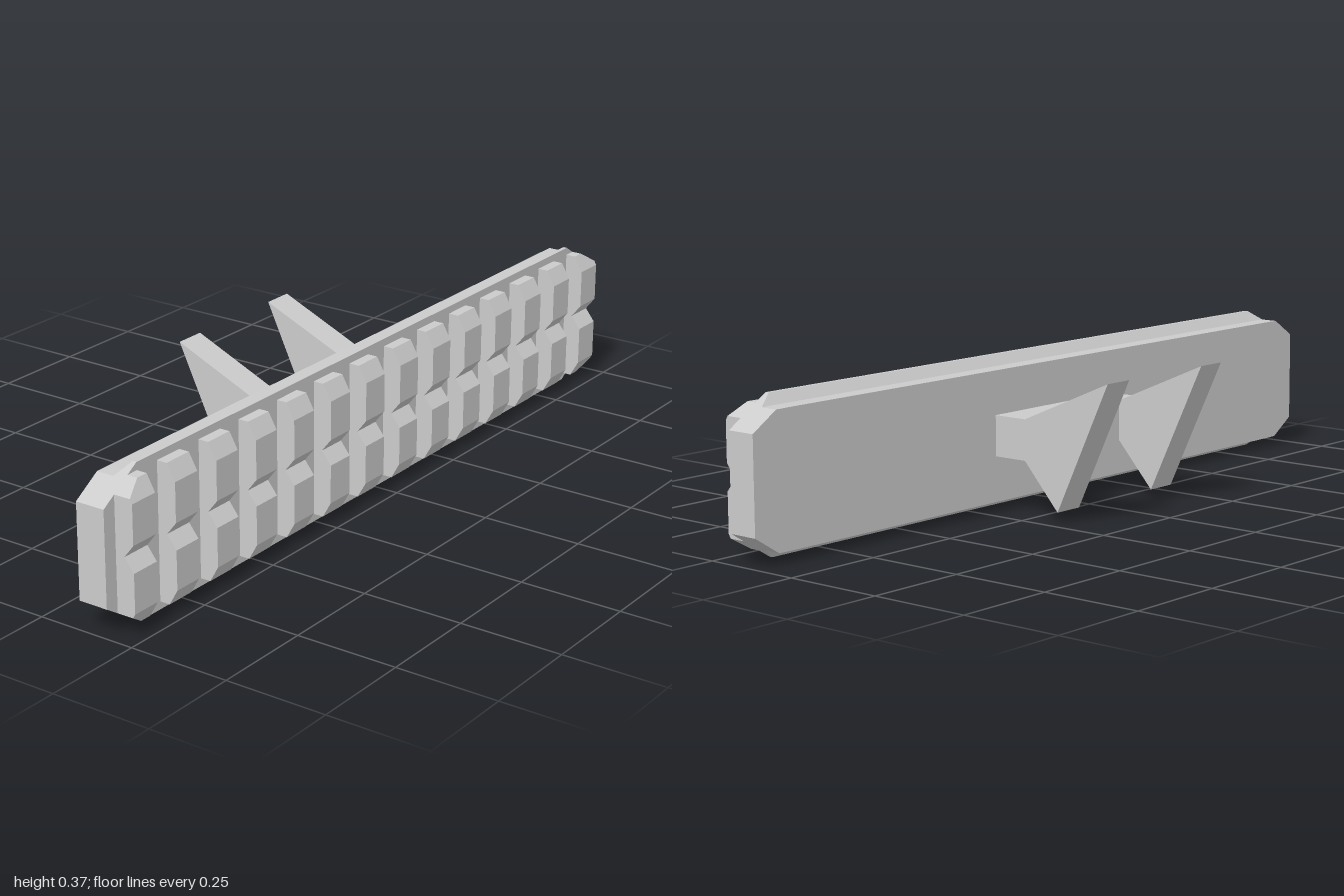
import * as THREE from 'three';

const MID = 0.185; // height of the rail's centre line
const mat = new THREE.MeshStandardMaterial({ color: 0xcccccc, flatShading: true, side: THREE.DoubleSide });

// Half-height allowed at z by the bevelled rail ends
const limit = (z) => Math.min(0.185, 0.115 + (1 - Math.abs(z)) * (0.07 / 0.11));

// Upper half profiles as [x, height above the centre line]
function railHalf(l) {
  const s = Math.min(l, 0.16);
  return [[0.11, s], [0.155, s], [0.155 + 0.02 * Math.max(0, (l - 0.16) / 0.025), l], [0.185, l]];
}
function toothHalf(l) {
  const t = Math.min(l, 0.166);
  return [[0.184, t], [0.211 + 0.022 * (0.166 - t) / 0.039, t], [0.233, 0.127], [0.233, 0.032], [0.208, 0]];
}

// Joins mirrored cross-sections along z and caps both ends
function loft(half, zs) {
  const rings = zs.map((z) => {
    const top = half(limit(z));
    const bottom = top.filter((p) => p[1] > 0).map(([x, h]) => [x, -h]).reverse();
    return [...top, ...bottom].reverse().map(([x, h]) => new THREE.Vector3(x, MID + h, z));
  });
  const pos = [];
  const tri = (...pts) => pts.forEach((p) => pos.push(p.x, p.y, p.z));
  const n = rings[0].length;
  for (let k = 0; k + 1 < rings.length; k++) {
    for (let i = 0; i < n; i++) {
      const a = rings[k][i], b = rings[k][(i + 1) % n];
      const c = rings[k + 1][(i + 1) % n], d = rings[k + 1][i];
      tri(a, b, c);
      tri(a, c, d);
    }
  }
  const first = rings[0], last = rings[rings.length - 1];
  const cap = (ring) => THREE.ShapeUtils.triangulateShape(ring.map((p) => new THREE.Vector2(p.x, p.y)), []);
  for (const [i, j, k] of cap(first)) tri(first[i], first[k], first[j]);
  for (const [i, j, k] of cap(last)) tri(last[i], last[j], last[k]);
  const geo = new THREE.BufferGeometry();
  geo.setAttribute('position', new THREE.Float32BufferAttribute(pos, 3));
  geo.computeVertexNormals();
  return geo;
}

export function createModel() {
  const model = new THREE.Group();
  const add = (parent, name, geo) => {
    const mesh = new THREE.Mesh(geo, mat);
    mesh.name = name;
    parent.add(mesh);
    return mesh;
  };

  // Long backing rail with lips and bevelled ends
  add(model, 'rail', loft(railHalf, [-1, -0.93, -0.89, 0.89, 0.93, 1]));

  // Row of notched teeth, the outermost trimmed by the end bevels
  const teeth = new THREE.Group();
  teeth.name = 'teeth';
  model.add(teeth);
  const count = 14, halfWidth = 0.038, reach = 0.927;
  for (let i = 0; i < count; i++) {
    const z = -reach + (2 * reach * i) / (count - 1);
    const zs = [z - halfWidth, z + halfWidth];
    if (i === 0 || i === count - 1) zs.splice(1, 0, Math.sign(z) * 0.92);
    add(teeth, 'tooth', loft(toothHalf, zs));
  }

  // Mounting bracket: cross block carrying two pointed prongs
  const bracket = new THREE.Group();
  bracket.name = 'bracket';
  model.add(bracket);
  const outer = 0.217, inner = 0.138;
  add(bracket, 'crossBlock', new THREE.BoxGeometry(0.092, 0.1, 2 * inner)).position.set(0.064, 0.187, 0);
  const outline = new THREE.Shape([
    [0.11, 0.137], [0.11, 0.237], [0.018, 0.237], [-0.235, 0.347], [-0.083, 0.025], [0.018, 0.137],
  ].map(([x, y]) => new THREE.Vector2(x, y)));
  for (const z of [-outer, inner]) {
    const prong = new THREE.ExtrudeGeometry(outline, { depth: outer - inner, bevelEnabled: false });
    add(bracket, 'prong', prong).position.z = z;
  }
  return model;
}
